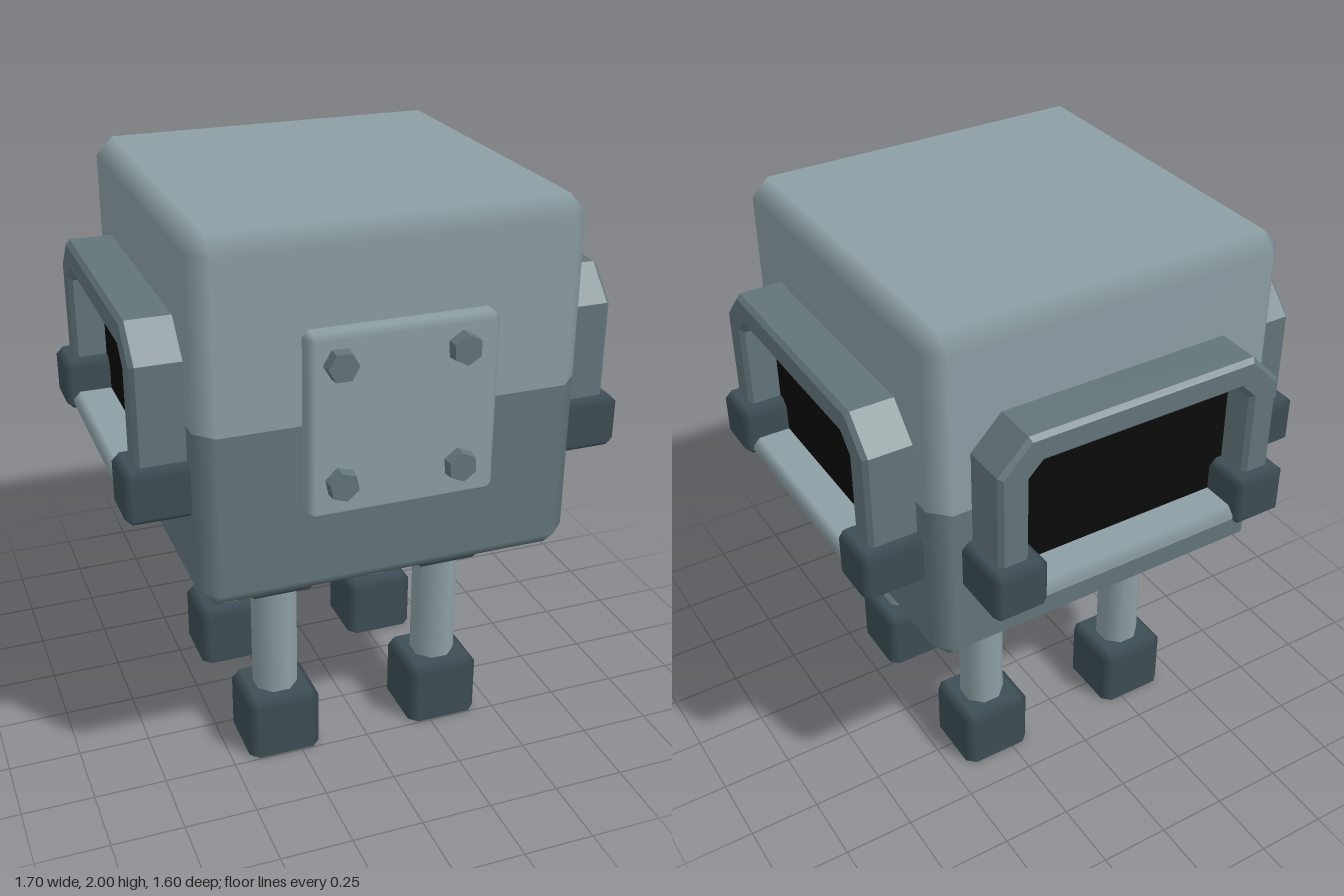
import * as THREE from 'three';
import { ConvexGeometry } from 'three/addons/geometries/ConvexGeometry.js';

const paint = (name, color) => {
  const m = new THREE.MeshStandardMaterial({ color });
  m.name = name;
  return m;
};

// Box with chamfered edges and soft shading across the chamfers.
// flatBottom / flatTop leave that end uncut so pieces can be stacked.
function chamferBox(w, h, d, c, flatBottom = false, flatTop = false) {
  const half = [w / 2, h / 2, d / 2];
  const points = [];
  for (const sx of [-1, 1]) for (const sy of [-1, 1]) for (const sz of [-1, 1]) {
    const flat = sy < 0 ? flatBottom : flatTop;
    for (let axis = 0; axis < 3; axis++) {
      if (flat && axis === 1) continue;
      const p = half.map((v, i) => (i === axis ? v : v - c));
      if (flat) p[1] = half[1];
      points.push(new THREE.Vector3(p[0] * sx, p[1] * sy, p[2] * sz));
    }
  }
  const geo = new ConvexGeometry(points);
  const pos = geo.attributes.position, nor = geo.attributes.normal;
  for (let i = 0; i < pos.count; i++) {
    const n = [nor.getX(i), nor.getY(i), nor.getZ(i)];
    if (n.some((v) => Math.abs(v) > 0.99)) continue; // main faces stay flat
    const p = [pos.getX(i), pos.getY(i), pos.getZ(i)];
    const soft = [0, 0, 0];
    for (const axis of [0, 2, 1]) {
      if (Math.abs(Math.abs(p[axis]) - half[axis]) < 1e-4) {
        soft[axis] = Math.sign(p[axis]);
        break;
      }
    }
    nor.setXYZ(i, ...soft);
  }
  return geo;
}

export function createModel() {
  const light = paint('light grey', 0x8c9fa5);
  const mid = paint('slate grey', 0x62757a);
  const dark = paint('dark slate', 0x3d4e55);
  const black = paint('black', 0x0a0a0a);

  const model = new THREE.Group();
  const add = (parent, name, geo, mat, x, y, z) => {
    const mesh = new THREE.Mesh(geo, mat);
    mesh.name = name;
    mesh.position.set(x, y, z);
    parent.add(mesh);
    return mesh;
  };
  const CZ = 0.0575;

  // Two-tone body
  add(model, 'bodyUpper', chamferBox(1.285, 0.62, 1.285, 0.06, true), light, 0, 1.69, CZ);
  add(model, 'bodyLower', chamferBox(1.285, 0.61, 1.285, 0.06, false, true), mid, 0, 1.075, CZ);

  // Front plate with four bolts
  add(model, 'frontPlate', chamferBox(0.625, 0.61, 0.1, 0.02), light, 0, 1.385, 0.712);
  const boltGeo = new THREE.CylinderGeometry(0.05, 0.056, 0.06, 6).toNonIndexed();
  boltGeo.computeVertexNormals();
  boltGeo.rotateX(Math.PI / 2);
  [[-0.215, 1.595, 0.52], [0.185, 1.595, 0.05], [-0.21, 1.2, 0.2], [0.185, 1.2, 0.1]].forEach(([x, y, turn]) => {
    add(model, 'bolt', boltGeo, mid, x, y, 0.77).rotation.z = turn;
  });

  // Legs
  const footGeo = chamferBox(0.26, 0.228, 0.26, 0.03, true);
  const socketGeo = chamferBox(0.26, 0.185, 0.26, 0.03, false, true);
  const poleGeo = new THREE.CylinderGeometry(0.08, 0.08, 0.5, 8, 1, true).rotateY(Math.PI / 8);
  for (const x of [-0.305, 0.305]) for (const z of [0.365, -0.25]) {
    const leg = new THREE.Group();
    leg.name = 'leg';
    leg.position.set(x, 0, z);
    add(leg, 'foot', footGeo, dark, 0, 0.114, 0);
    add(leg, 'pole', poleGeo, light, 0, 0.44, 0);
    add(leg, 'socket', socketGeo, dark, 0, 0.7375, 0);
    model.add(leg);
  }

  // Arched frame outline: outer edge, then back along the inner edge
  const b = 0.015;
  const outline = [
    [-0.517, 1.14], [-0.517, 1.59], [-0.41, 1.7], [0.41, 1.7], [0.517, 1.59], [0.517, 1.14],
    [0.41, 1.14], [0.41, 1.55], [0.36, 1.6], [-0.36, 1.6], [-0.41, 1.55], [-0.41, 1.14],
  ];
  const archGeo = new THREE.ExtrudeGeometry(
    new THREE.Shape(outline.map(([x, y]) => new THREE.Vector2(x, y))),
    { depth: 0.17, bevelEnabled: true, bevelSize: b, bevelOffset: -b, bevelThickness: b, bevelSegments: 1 },
  );
  const paneGeo = new THREE.BoxGeometry(0.88, 0.53, 0.009);
  const sillGeo = chamferBox(0.9, 0.068, 0.22, 0.025);
  const blockGeo = chamferBox(0.192, 0.185, 0.25, 0.025);

  // One window facing +z with the wall at z = 0
  const addWindow = (name, x, z, turn) => {
    const win = new THREE.Group();
    win.name = name;
    add(win, 'windowFrame', archGeo, mid, 0, 0, -0.02);
    add(win, 'windowPane', paneGeo, black, 0, 1.365, 0.045);
    add(win, 'sill', sillGeo, light, 0, 1.112, 0.077);
    for (const s of [-1, 1]) add(win, 'cornerBlock', blockGeo, dark, s * 0.459, 1.168, 0.085);
    win.position.set(x, 0, z);
    win.rotation.y = turn;
    model.add(win);
  };
  addWindow('leftWindow', 0.64, CZ, Math.PI / 2);
  addWindow('rightWindow', -0.64, CZ, -Math.PI / 2);
  addWindow('backWindow', 0, -0.585, Math.PI);

  return model;
}
